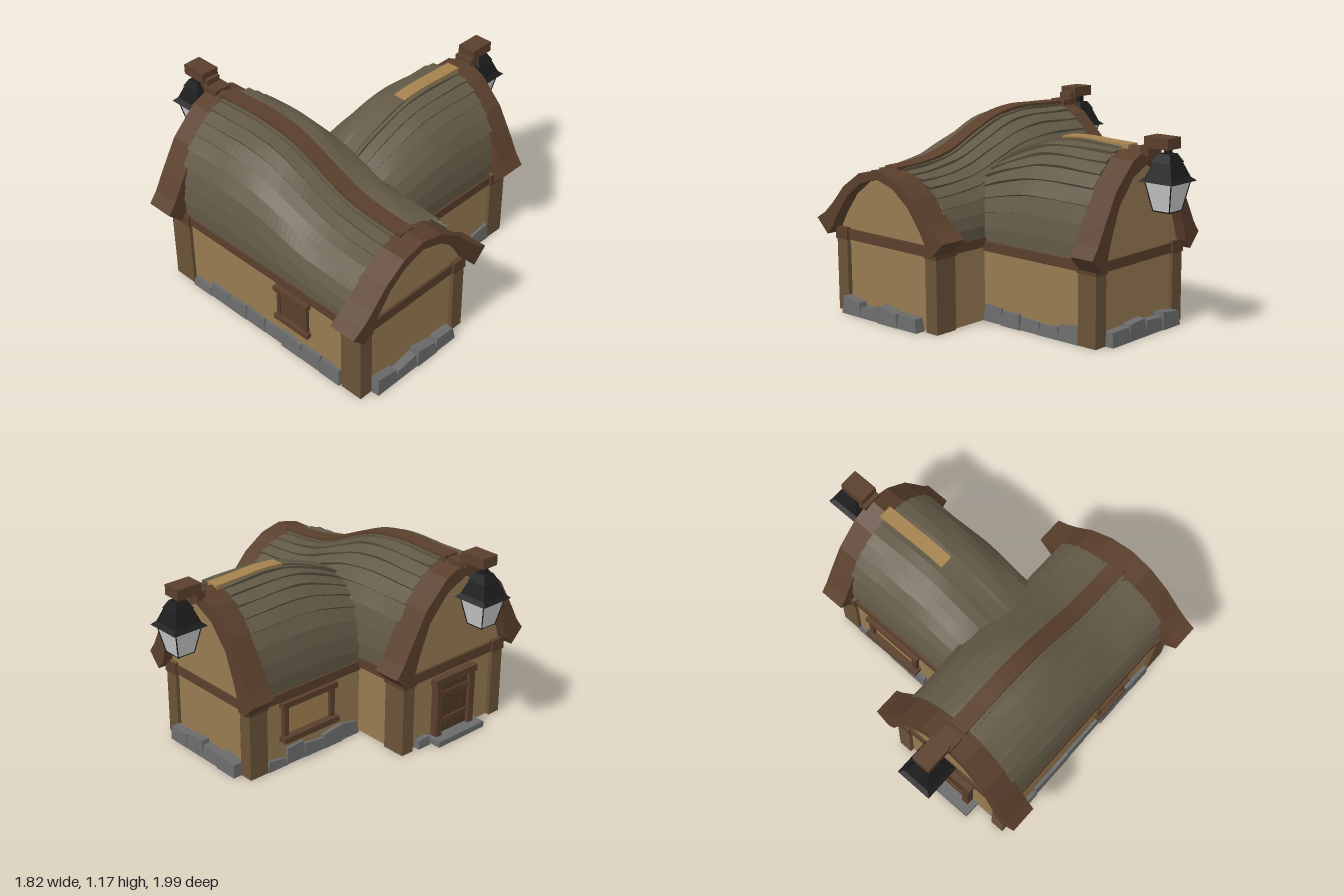
import * as THREE from 'three';

const mat = (color) => new THREE.MeshStandardMaterial({ color, flatShading: true, side: THREE.DoubleSide });
const M = {
  wall: mat(0x987b52), timber: mat(0x5a3f2c), post: mat(0x6a5238), roof: mat(0x625946), plank: mat(0xa5824f),
  stone: mat(0x6b6b6b), iron: mat(0x1c1c1c), glass: mat(0xbcbcbc), door: mat(0x4f3824),
};
let seed = 7;
const rnd = () => (seed = (seed * 16807) % 2147483647) / 2147483647;

function add(parent, name, geo, m, x = 0, y = 0, z = 0) {
  const mesh = new THREE.Mesh(geo, m);
  mesh.name = name;
  mesh.position.set(x, y, z);
  parent.add(mesh);
  return mesh;
}
// box given by its limits on each axis
const block = (p, name, m, x0, x1, y0, y1, z0, z1) =>
  add(p, name, new THREE.BoxGeometry(x1 - x0, y1 - y0, z1 - z0), m, (x0 + x1) / 2, (y0 + y1) / 2, (z0 + z1) / 2);

// skin over equal-length cross-sections
function loft(sections, capped = false) {
  const n = sections[0].length, idx = [];
  for (let i = 0; i < sections.length - 1; i++)
    for (let j = 0; j < n - 1; j++) {
      const a = i * n + j, b = a + n;
      idx.push(a, b, a + 1, a + 1, b, b + 1);
    }
  if (capped) for (const o of [0, (sections.length - 1) * n])
    for (let j = 1; j < n - 2; j++) idx.push(o, o + j, o + j + 1);
  const g = new THREE.BufferGeometry();
  g.setAttribute('position', new THREE.Float32BufferAttribute(sections.flat(2), 3));
  g.setIndex(idx);
  const flat = g.toNonIndexed();
  flat.computeVertexNormals();
  return flat;
}

const v = (p) => new THREE.Vector3(p[0], p[1], 0);
const HALF = new THREE.CatmullRomCurve3([[0, 1], [0.27, 0.97], [0.52, 0.87], [0.72, 0.74], [0.87, 0.57], [0.96, 0.38], [1, 0.18], [0.98, 0]].map(v));
const OUTER = [[0, 0.875], [0.14, 0.84], [0.27, 0.75], [0.37, 0.64], [0.44, 0.58], [0.51, 0.54]];
const INNER = [[0.425, 0.457], [0.38, 0.505], [0.33, 0.585], [0.24, 0.7], [0.13, 0.785], [0, 0.825]];

// smoothed ridge heights along the wing
function ridgeCurve(pts) {
  const c = new THREE.CatmullRomCurve3(pts.map(([z, y]) => new THREE.Vector3(0, y, z)));
  return Array.from({ length: 41 }, (_, i) => c.getPoint(i / 40));
}
const cut = (ridge, z0, z1) => ridge.filter((r) => r.z >= z0 && r.z <= z1);

// lapped plank roof: each row kicks outward at its lower edge
function roofGeo(ridge, halfW, base) {
  const rows = 9;
  return loft(ridge.map((r) => {
    const half = [];
    for (let k = 0; k < rows; k++) for (const [t, lift] of [[k / rows, 0], [(k + 1) / rows, 1]]) {
      const p = HALF.getPointAt(t), d = HALF.getTangentAt(t);
      const o = lift * (k > 5 ? 0.006 : 0.015 + 0.004 * Math.sin(r.z * 12 + k * 2));
      half.push([p.x * halfW - d.y * o, base + p.y * (r.y - base) + d.x * o, r.z]);
    }
    return [...half.slice().reverse().map(([x, y, z]) => [-x, y, z]), ...half];
  }));
}

// ridge strip of a given half width following the roof line
const ridgeGeo = (ridge, w, up, down) => loft(ridge.map((r) =>
  [[-w, r.y - down, r.z], [-w, r.y + up, r.z], [w, r.y + up, r.z], [w, r.y - down, r.z], [-w, r.y - down, r.z]]), true);

// arched end board and the gable panel behind it; swell rounds out the tall arches
function gableEnd(p, { top, tip, half, z0, z1, panelZ, swell }) {
  const map = ([u, y]) => {
    const t = Math.max(0, (y - 0.54) / 0.335);
    return new THREE.Vector2(u * half / 0.51 * (1 + swell * Math.sin(Math.PI * t)), tip + (t > 0 ? t * (top - tip) : y - 0.54));
  };
  const out = OUTER.map(map), inn = INNER.map(map);
  const mirror = (a) => a.map((q) => new THREE.Vector2(-q.x, q.y)).reverse();
  const board = new THREE.Shape([...out, ...inn, ...mirror(inn).slice(1), ...mirror(out).slice(0, -1)]);
  add(p, 'bargeBoard', new THREE.ExtrudeGeometry(board, { depth: z1 - z0, bevelEnabled: false }), M.timber, 0, 0, z0);
  const w = inn[1].x;
  const panel = new THREE.Shape([new THREE.Vector2(-w, 0.4), new THREE.Vector2(w, 0.4),
    ...inn.slice(1).map((q) => new THREE.Vector2(q.x, q.y + 0.01)), ...mirror(inn).slice(1, -1)]);
  add(p, 'gable', new THREE.ExtrudeGeometry(panel, { depth: 0.02, bevelEnabled: false }), M.wall, 0, 0, panelZ - 0.01);
}

// uneven foundation stones along a line from a to b (x, z)
function stones(p, a, b, n) {
  const g = new THREE.Group();
  g.name = 'foundationStones';
  const dx = b[0] - a[0], dz = b[1] - a[1], len = Math.hypot(dx, dz);
  for (let i = 0; i < n; i++) {
    const h = 0.05 + rnd() * 0.05, geo = new THREE.BoxGeometry(len / n * 1.02, h, 0.055 + rnd() * 0.025), q = geo.attributes.position;
    const tilt = (rnd() - 0.5) * 0.35, lean = 0.8 + rnd() * 0.2;
    for (let k = 0; k < q.count; k++) if (q.getY(k) > 0) {
      q.setY(k, q.getY(k) + q.getX(k) * tilt);
      q.setX(k, q.getX(k) * lean);
      q.setZ(k, q.getZ(k) * 0.8);
    }
    geo.computeVertexNormals();
    const t = (i + 0.5) / n;
    add(g, 'stone', geo, M.stone, a[0] + dx * t, 0.01 + h / 2, a[1] + dz * t).rotation.y = Math.atan2(-dz, dx);
  }
  p.add(g);
}

// four-sided lantern; y is the height of its rim
function lantern(p, x, y, z) {
  const g = new THREE.Group();
  g.name = 'lantern';
  g.position.set(x, y, z);
  const tier = (name, m, r0, r1, y0, y1) => {
    const geo = new THREE.CylinderGeometry(r1 * Math.SQRT2, r0 * Math.SQRT2, y1 - y0, 4);
    add(g, name, geo.rotateY(Math.PI / 4), m, 0, (y0 + y1) / 2, 0);
  };
  tier('glass', M.glass, 0.052, 0.085, -0.155, 0);
  tier('base', M.iron, 0.05, 0.056, -0.162, -0.155);
  tier('rim', M.iron, 0.109, 0.085, 0, 0.022);
  tier('hood', M.iron, 0.085, 0.055, 0.022, 0.1);
  tier('crown', M.iron, 0.06, 0.035, 0.1, 0.145);
  tier('hanger', M.iron, 0.016, 0.016, 0.14, 0.2);
  for (const sx of [-1, 1]) for (const sz of [-1, 1]) {
    const path = new THREE.LineCurve3(new THREE.Vector3(sx * 0.085, 0, sz * 0.085), new THREE.Vector3(sx * 0.053, -0.16, sz * 0.053));
    add(g, 'cornerBar', new THREE.TubeGeometry(path, 1, 0.004, 4), M.iron);
  }
  p.add(g);
}

// one house wing along local z: walls, posts and beams
function wing(name, w, z0, z1, postEnds, beamY) {
  const g = new THREE.Group();
  g.name = name;
  block(g, 'walls', M.wall, -w, w, 0.01, 0.5, z0, z1);
  for (const s of [-1, 1]) {
    const x = s * (w - 0.022);
    for (const [a, b] of postEnds) {
      block(g, 'cornerPost', M.post, x - 0.042, x + 0.042, 0.01, 0.48, a, b);
      block(g, 'postCap', M.timber, x - 0.048, x + 0.048, beamY - 0.005, beamY + 0.065, a - 0.006, b + 0.006);
    }
    block(g, 'eaveBeam', M.timber, s * w - 0.012, s * w + 0.012, beamY, beamY + 0.055, z0 + 0.02, z1 - 0.02);
  }
  return g;
}

export function createModel() {
  const model = new THREE.Group();
  model.name = 'cottage';

  // main wing, turned to run along x
  const main = wing('mainWing', 0.383, -0.6, 0.825, [[-0.625, -0.48], [0.71, 0.852]], 0.432);
  main.rotation.y = Math.PI / 2;
  main.position.z = 0.48;
  const ridge = ridgeCurve([[-0.56, 1.09], [-0.4, 1.095], [-0.2, 1.1], [0, 1.07], [0.2, 0.99], [0.4, 0.905], [0.6, 0.868], [0.79, 0.86]]);
  add(main, 'roof', roofGeo(cut(ridge, -0.545, 0.775), 0.39, 0.48), M.roof);
  add(main, 'ridgeBeam', ridgeGeo(ridge, 0.05, 0.02, 0.03), M.timber);
  gableEnd(main, { top: 0.875, tip: 0.54, half: 0.51, z0: 0.74, z1: 0.905, panelZ: 0.82, swell: 0.02 });
  gableEnd(main, { top: 1.1, tip: 0.545, half: 0.51, z0: -0.675, z1: -0.51, panelZ: -0.595, swell: 0.12 });
  block(main, 'gableBeam', M.timber, -0.36, 0.36, 0.43, 0.49, 0.81, 0.845);
  block(main, 'gableBeam', M.timber, -0.36, 0.36, 0.43, 0.49, -0.62, -0.58);
  model.add(main);

  // rear wing
  const rear = wing('rearWing', 0.352, -0.7, 0.15, [[-0.722, -0.6]], 0.41);
  rear.position.x = 0.11;
  const rr = ridgeCurve([[-0.66, 1.03], [-0.5, 1.035], [-0.33, 1.04], [-0.17, 1.025], [0, 0.97], [0.1, 0.93], [0.2, 0.88], [0.28, 0.83]]);
  add(rear, 'roof', roofGeo(cut(rr, -0.645, 0.28), 0.353, 0.45), M.roof);
  add(rear, 'ridgePlank', ridgeGeo(cut(rr, -0.66, -0.19), 0.04, 0.016, 0.02), M.plank);
  add(rear, 'ridgeTile', ridgeGeo(cut(rr, -0.25, 0.28), 0.04, 0.012, 0.02), M.roof);
  gableEnd(rear, { top: 1.04, tip: 0.51, half: 0.46, z0: -0.77, z1: -0.62, panelZ: -0.695, swell: 0.12 });
  block(rear, 'gableBeam', M.timber, -0.33, 0.33, 0.41, 0.465, -0.715, -0.68);
  model.add(rear);

  // lamp brackets and lanterns
  block(model, 'bracketArm', M.timber, -0.845, -0.69, 1.12, 1.18, 0.425, 0.535);
  block(model, 'bracketFoot', M.timber, -0.69, -0.59, 1.07, 1.112, 0.425, 0.535);
  block(model, 'bracketKnee', M.timber, -0.72, -0.665, 1.085, 1.145, 0.435, 0.525);
  lantern(model, -0.803, 0.932, 0.48);
  block(model, 'bracketArm', M.timber, 0.05, 0.162, 1.045, 1.105, -0.93, -0.775);
  block(model, 'bracketFoot', M.timber, 0.05, 0.162, 1.0, 1.055, -0.805, -0.75);
  lantern(model, 0.106, 0.875, -0.89);

  // front lattice window
  const win = new THREE.Group();
  win.name = 'latticeWindow';
  win.position.set(0.34, 0.305, 0.87);
  for (const s of [-1, 1]) {
    block(win, 'sill', M.timber, -0.127, 0.127, s * 0.1 - 0.015, s * 0.1 + 0.015, -0.02, 0.025);
    block(win, 'jamb', M.timber, s * 0.103 - 0.011, s * 0.103 + 0.011, -0.1, 0.1, -0.02, 0.012);
    for (let c = -3; c <= 3; c++) {
      const o = c * 0.05, L = (0.19 - Math.abs(o)) * Math.SQRT2;
      add(win, 'latticeBar', new THREE.BoxGeometry(L, 0.018, 0.01), M.timber, o / 2, -s * o / 2, 0).rotation.z = s * Math.PI / 4;
    }
  }
  model.add(win);

  // framed side window on the rear wing
  const side = new THREE.Group();
  side.name = 'sideWindow';
  block(side, 'pane', M.plank, -0.25, -0.246, 0.19, 0.39, -0.46, -0.14);
  block(side, 'lintel', M.timber, -0.28, -0.24, 0.375, 0.41, -0.5, -0.1);
  block(side, 'ledge', M.timber, -0.295, -0.24, 0.165, 0.2, -0.5, -0.1);
  for (const z of [-0.47, -0.13]) block(side, 'jamb', M.timber, -0.27, -0.24, 0.18, 0.39, z - 0.016, z + 0.016);
  model.add(side);

  // plank door with frame and doorstep
  const door = new THREE.Group();
  door.name = 'door';
  for (let i = 0; i < 4; i++) block(door, 'doorPlank', M.door, -0.627, -0.59, 0.05, 0.38, 0.372 + i * 0.055, 0.424 + i * 0.055);
  for (const y of [0.13, 0.3]) block(door, 'doorBatten', M.timber, -0.637, -0.6, y - 0.015, y + 0.015, 0.375, 0.588);
  for (const z of [0.35, 0.61]) block(door, 'doorJamb', M.timber, -0.648, -0.59, 0.04, 0.41, z - 0.022, z + 0.022);
  block(door, 'doorLintel', M.timber, -0.652, -0.59, 0.37, 0.412, 0.315, 0.645);
  block(door, 'doorstep', M.stone, -0.7, -0.59, 0.01, 0.045, 0.3, 0.67);
  model.add(door);

  // foundation stones
  stones(model, [-0.47, 0.855], [0.7, 0.855], 8);
  stones(model, [0.872, 0.8], [0.872, 0.19], 4);
  stones(model, [0.452, 0.09], [0.452, -0.6], 5);
  stones(model, [0.4, -0.74], [-0.18, -0.74], 4);
  stones(model, [-0.235, -0.6], [-0.235, 0.08], 5);
  stones(model, [-0.61, 0.2], [-0.61, 0.29], 1);
  return model;
}
